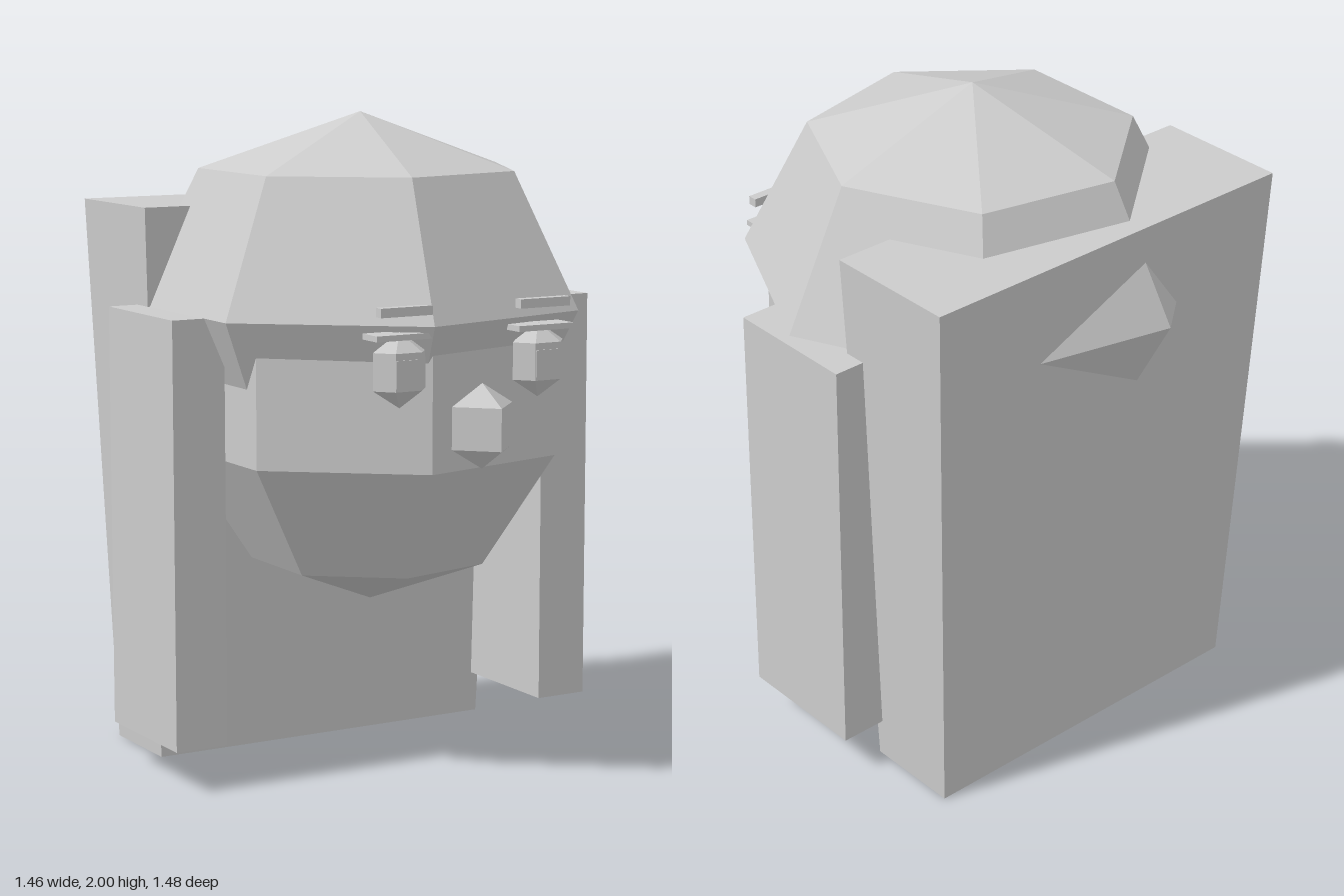
import * as THREE from 'three';

export function createModel() {
  const model = new THREE.Group();
  model.name = 'head';
  const grey = new THREE.MeshStandardMaterial({ color: 0xcccccc, flatShading: true });
  grey.name = 'plain grey';

  function add(name, geometry, x, y, z) {
    const mesh = new THREE.Mesh(geometry, grey);
    mesh.name = name;
    mesh.position.set(x, y, z);
    model.add(mesh);
    return mesh;
  }
  // Low-poly ball with one corner on +x, stretched to three radii
  function ball(name, sides, rings, [rx, ry, rz], [x, y, z]) {
    const geometry = new THREE.SphereGeometry(1, sides, rings, Math.PI).scale(rx, ry, rz);
    return add(name, geometry, x, y, z);
  }
  // Box given by its lower and upper corners
  function box(name, a, b) {
    const geometry = new THREE.BoxGeometry(b[0] - a[0], b[1] - a[1], b[2] - a[2]);
    return add(name, geometry, (a[0] + b[0]) / 2, (a[1] + b[1]) / 2, (a[2] + b[2]) / 2);
  }

  // Seven-sided face and hair cap
  ball('face', 7, 5, [0.624, 0.7, 0.624], [0, 1.2, 0.005]);
  ball('hairCap', 7, 4, [0.695, 0.58, 0.703], [0, 1.42, -0.055]);
  ball('nose', 4, 3, [0.119, 0.125, 0.119], [0, 1.125, 0.641]);

  // Back hair: slab narrowing towards the bottom
  const slab = new THREE.BoxGeometry(1.29, 1.72, 0.425);
  const p = slab.attributes.position;
  for (let i = 0; i < p.count; i++) {
    if (p.getY(i) < 0) p.setXYZ(i, p.getX(i) * 0.9, p.getY(i), p.getZ(i) * 0.71);
  }
  slab.computeVertexNormals();
  add('backHair', slab, 0, 0.86, -0.442);

  // Paired parts
  for (const s of [-1, 1]) {
    const side = s > 0 ? 'left' : 'right';
    const pair = (part, x0, x1, y0, y1, z0, z1) =>
      box(side + part, [Math.min(s * x0, s * x1), y0, z0], [Math.max(s * x0, s * x1), y1, z1]);
    pair('SideHair', 0.56, 0.73, 0.13, 1.42, -0.31, 0.115);
    ball(side + 'Eye', 6, 3, [0.101, 0.11, 0.072], [s * 0.237, 1.295, 0.572]);
    pair('Pupil', 0.195, 0.279, 1.25, 1.33, 0.56, 0.629);
    pair('Eyelid', 0.145, 0.335, 1.385, 1.402, 0.53, 0.612);
    pair('Eyebrow', 0.15, 0.322, 1.453, 1.48, 0.583, 0.613);
  }
  return model;
}
